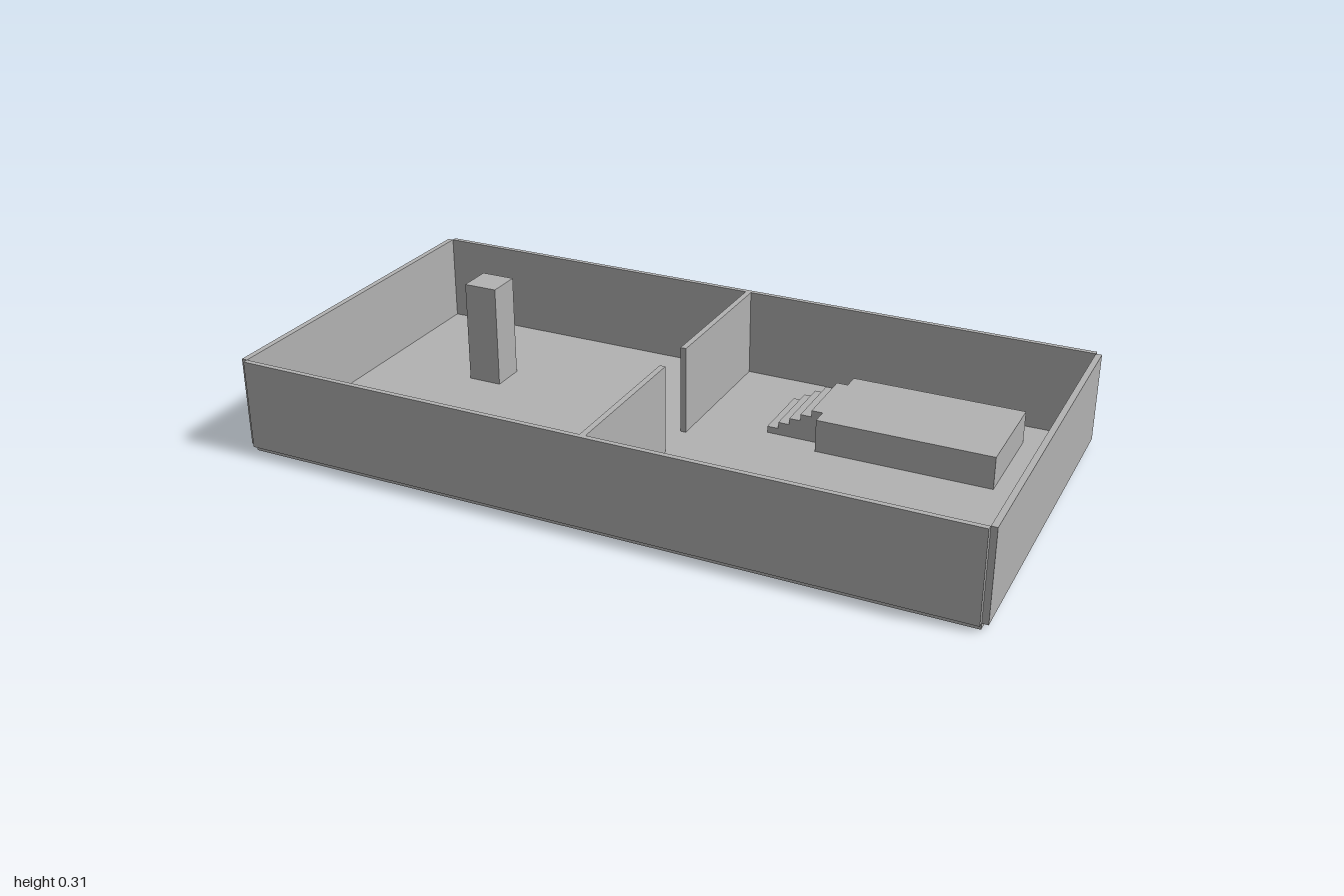
import * as THREE from 'three';

const FLOOR = 0.016, TOP = 0.262, X = 0.984, Z = 0.493;

export function createModel() {
  const model = new THREE.Group();
  model.name = 'walledRooms';
  const grey = new THREE.MeshStandardMaterial({ color: 0xb2b2b2 });
  grey.name = 'plain grey';

  // Box given by its low and high limits on each axis
  function block(name, [x0, x1], [y0, y1], [z0, z1], parent = model) {
    const mesh = new THREE.Mesh(new THREE.BoxGeometry(x1 - x0, y1 - y0, z1 - z0), grey);
    mesh.position.set((x0 + x1) / 2, (y0 + y1) / 2, (z0 + z1) / 2);
    mesh.name = name;
    parent.add(mesh);
  }

  block('floor', [-X, X], [0, FLOOR], [-Z, Z]);

  // Outer walls stand just outside the floor edge, leaving notched corners
  const wallY = [FLOOR, TOP];
  block('frontWall', [-X, X], wallY, [Z, 0.507]);
  block('backWall', [-X, X], wallY, [-0.507, -Z]);
  block('leftWall', [X, 1], wallY, [-Z, Z]);
  block('rightWall', [-1, -X], wallY, [-Z, Z]);

  // Dividing wall with a doorway in the middle
  block('frontPartition', [-0.008, 0.008], wallY, [0.062, Z]);
  block('backPartition', [-0.008, 0.008], wallY, [-Z, -0.062]);

  block('pillar', [-0.695, -0.599], [FLOOR, 0.305], [-0.203, -0.106]);

  // Raised platform with a flight of steps
  const deck = 0.107, steps = 5, start = 0.205, end = 0.36;
  block('platform', [end, 0.84], [FLOOR, deck], [-0.395, -0.109]);
  const stairs = new THREE.Group();
  stairs.name = 'stairs';
  model.add(stairs);
  const run = (end - start) / steps, rise = (deck - FLOOR) / steps;
  for (let i = 0; i < steps; i++) {
    const x = start + i * run;
    block('step' + (i + 1), [x, x + run], [FLOOR, FLOOR + rise * (i + 1)], [-0.347, -0.157], stairs);
  }
  return model;
}
